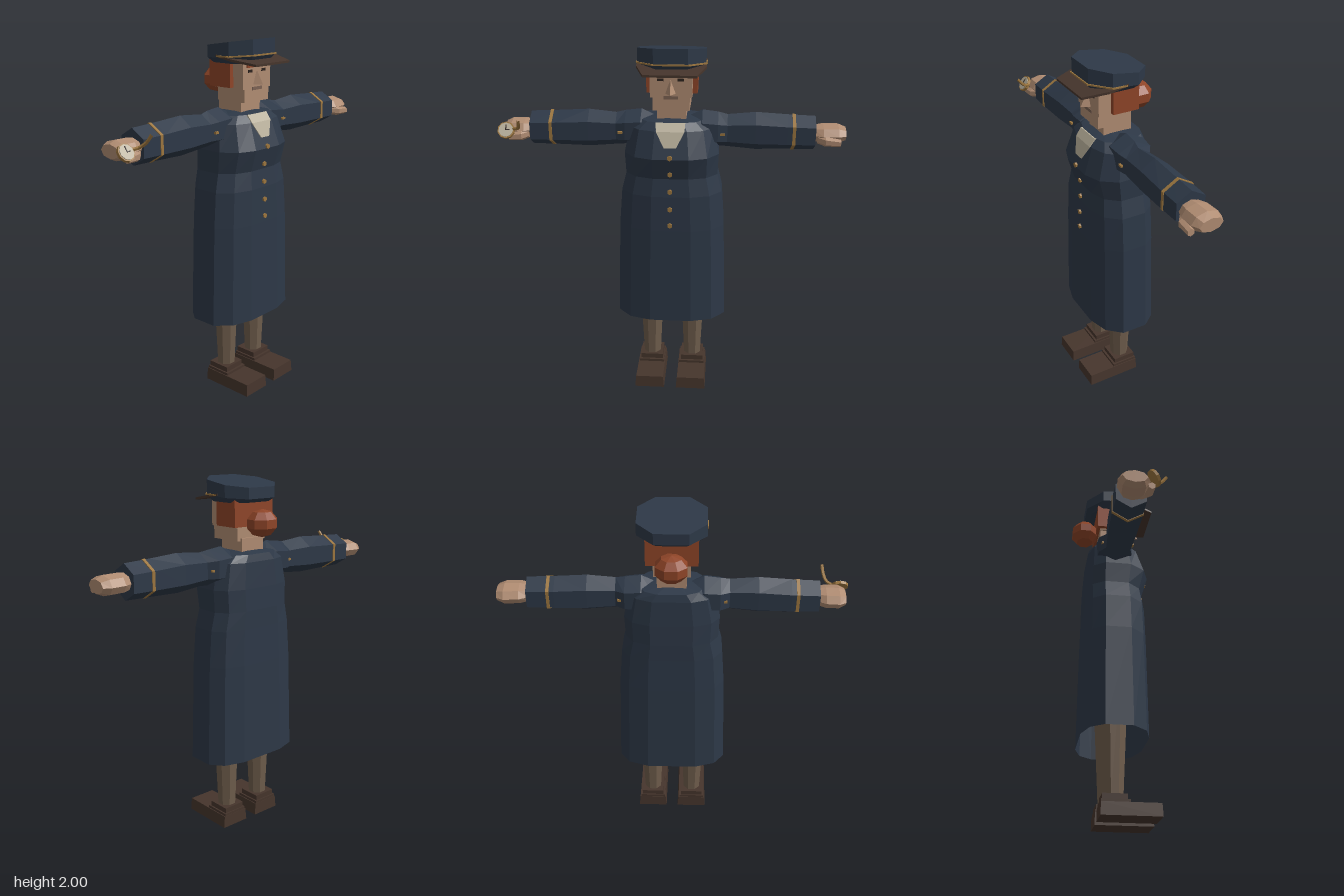
import * as THREE from 'three';

const mat = (name, color, side = THREE.FrontSide) =>
  Object.assign(new THREE.MeshStandardMaterial({ color, side }), { name });

export function createModel() {
  const root = new THREE.Group();
  root.name = 'uniformedFigure';
  const M = {
    navy: mat('navy cloth', 0x2d3847, THREE.DoubleSide),
    skin: mat('skin', 0xb08c72),
    hair: mat('red hair', 0x8f4528),
    leather: mat('brown leather', 0x46352c),
    stocking: mat('stocking', 0x6f5d4c),
    gold: mat('gold', 0x9c763f),
    cream: mat('cream', 0xbab19c, THREE.DoubleSide),
    mouth: mat('mouth', 0x7c6253),
    dark: mat('dark brown', 0x2c221d),
  };

  // Faceted mesh helper
  const add = (name, geo, m, x = 0, y = 0, z = 0, parent = root) => {
    const g = geo.index ? geo.toNonIndexed() : geo;
    g.computeVertexNormals();
    const mesh = new THREE.Mesh(g, m);
    mesh.name = name;
    mesh.position.set(x, y, z);
    parent.add(mesh);
    return mesh;
  };
  const box = (name, m, x0, x1, y0, y1, z0, z1) =>
    add(name, new THREE.BoxGeometry(x1 - x0, y1 - y0, z1 - z0), m, (x0 + x1) / 2, (y0 + y1) / 2, (z0 + z1) / 2);

  // Skin a list of cross-sections; the sign of the volume fixes the corner order
  const loft = (rings, capStart = true, capEnd = true) => {
    const n = rings[0].length, tris = [];
    for (let i = 0; i + 1 < rings.length; i++) {
      for (let j = 0; j < n; j++) {
        const k = (j + 1) % n, a = rings[i], b = rings[i + 1];
        tris.push([a[j], a[k], b[k]], [a[j], b[k], b[j]]);
      }
    }
    for (let j = 1; j + 1 < n; j++) {
      const a = rings[0], b = rings[rings.length - 1];
      if (capStart) tris.push([a[0], a[j + 1], a[j]]);
      if (capEnd) tris.push([b[0], b[j], b[j + 1]]);
    }
    const c = new THREE.Vector3(...rings[0][0]);
    let volume = 0;
    for (const t of tris) {
      const [p, q, r] = t.map((v) => new THREE.Vector3(...v).sub(c));
      volume += p.dot(q.cross(r));
    }
    if (volume < 0) tris.forEach((t) => t.reverse());
    const g = new THREE.BufferGeometry();
    g.setAttribute('position', new THREE.Float32BufferAttribute(tris.flat(2), 3));
    return g;
  };
  // Thin straight bar between two points
  const bar = (name, m, p, q, w) => {
    const a = new THREE.Vector3(...p), b = new THREE.Vector3(...q);
    const o = add(name, new THREE.BoxGeometry(w, w, a.distanceTo(b) + w), m);
    o.position.copy(a).add(b).multiplyScalar(0.5);
    o.lookAt(b);
  };

  // Coat: y, half width, front z, back z
  const coat = [
    [0.435, 0.31, 0.19, -0.18], [1.0, 0.291, 0.183, -0.17], [1.2, 0.275, 0.178, -0.165],
    [1.3, 0.25, 0.165, -0.165], [1.42, 0.255, 0.2, -0.16], [1.56, 0.225, 0.15, -0.15],
    [1.6, 0.17, 0.12, -0.14], [1.612, 0.08, 0.075, -0.09],
  ];
  const half = [[0.38, 1], [0.76, 0.82], [1, 0.4], [1, -0.4], [0.82, -0.8], [0.45, -1]];
  const section = [...half, ...half.map(([x, z]) => [-x, z]).reverse()];
  add('coat', loft(coat.map(([y, w, f, b]) => section.map(([x, z]) =>
    [x * w + 0.003, y, z > 0 ? z * f : -z * b])), false, true), M.navy);
  const frontZ = (y) => {
    const i = coat.findIndex((r) => r[0] >= y), a = coat[i - 1], b = coat[i];
    return a[2] + (b[2] - a[2]) * (y - a[0]) / (b[0] - a[0]);
  };

  // Shirt opening and coat buttons
  const shirt = [[1.48, 0.032], [1.56, 0.075], [1.6, 0.078]].map(([y, w]) => {
    const z = frontZ(y);
    return [[-w, y, z + 0.006], [w, y, z + 0.006], [w, y, z - 0.003], [-w, y, z - 0.003]];
  });
  add('shirtFront', loft(shirt), M.cream);
  for (const y of [1.43, 1.33, 1.23, 1.13, 1.035]) {
    const g = new THREE.CylinderGeometry(0.014, 0.014, 0.012, 6).rotateX(Math.PI / 2);
    add('coatButton', g, M.gold, 0, y, frontZ(y) + 0.004);
  }

  // Arms and hands, mirrored by the sign s
  const oval = (x, y, z, ry, rz, n, s) => Array.from({ length: n }, (_, i) => {
    const a = (i / n) * Math.PI * 2;
    return [s * x, y + ry * Math.cos(a), z + rz * Math.sin(a)];
  });
  for (const s of [1, -1]) {
    const side = s > 0 ? 'left' : 'right';
    add(side + 'Sleeve', loft([
      [0.1, 1.54, -0.01, 0.07, 0.09], [0.165, 1.54, -0.01, 0.1, 0.115], [0.25, 1.535, -0.01, 0.095, 0.108],
      [0.3, 1.53, 0, 0.09, 0.08], [0.45, 1.53, -0.003, 0.104, 0.09], [0.62, 1.527, -0.004, 0.097, 0.095],
      [0.768, 1.525, -0.004, 0.093, 0.093],
    ].map((r) => oval(...r, 6, s))), M.navy);
    add(side + 'CuffStripe', loft([0.645, 0.662].map((x) =>
      oval(x, 1.527, -0.004, 0.1, 0.099, 6, s))), M.gold);
    for (const z of [-0.085, 0.085])
      add(side + 'SleeveButton', new THREE.BoxGeometry(0.025, 0.012, 0.012), M.gold, s * 0.275, 1.53, z);

    const reach = s > 0 ? 1 : 0.86;
    add(side + 'Hand', loft([
      [0, 1.525, 0, 0.045, 0.06], [0.05, 1.525, -0.003, 0.052, 0.082],
      [0.13, 1.525, -0.006, 0.052, 0.084], [0.17, 1.525, -0.006, 0.036, 0.065],
    ].map(([x, ...r]) => oval(0.76 + x * reach, ...r, 8, s))), M.skin);
    add(side + 'Thumb', loft([
      [0.02, 1.505, 0.045, 0.024, 0.022], [0.06, 1.5, 0.075, 0.027, 0.025], [0.14, 1.495, 0.082, 0.02, 0.02],
    ].map(([x, ...r]) => oval(0.76 + x * reach, ...r, 6, s))), M.skin);

    // Legs and shoes
    const lx = s * 0.121 + 0.003;
    add(side + 'Leg', new THREE.CylinderGeometry(0.085, 0.052, 0.72, 8).rotateY(Math.PI / 8), M.stocking, lx, 0.46, -0.003);
    box(side + 'ShoeCuff', M.leather, lx - 0.066, lx + 0.066, 0.07, 0.115, -0.07, 0.062);
    box(side + 'ShoeHeel', M.leather, lx - 0.075, lx + 0.075, 0.04, 0.085, -0.076, 0.075);
    add(side + 'Shoe', loft([[0, 0.086, -0.08, 0.237], [0.07, 0.08, -0.078, 0.234]].map(([y, w, b, f]) =>
      [[lx - w, y, b], [lx + w, y, b], [lx + w, y, f], [lx - w, y, f]])), M.leather);
  }

  // Pocket watch with its chain
  const watch = new THREE.Group();
  watch.name = 'pocketWatch';
  watch.position.set(-0.892, 1.532, 0.092);
  watch.rotation.set(Math.PI / 2 - 0.6, 0, 0);
  root.add(watch);
  add('watchCase', new THREE.CylinderGeometry(0.047, 0.047, 0.016, 10), M.gold, 0, 0, 0, watch);
  add('watchFace', new THREE.CylinderGeometry(0.04, 0.04, 0.006, 10), M.cream, 0, 0.009, 0, watch);
  add('hourHand', new THREE.BoxGeometry(0.022, 0.003, 0.005), M.dark, 0.01, 0.013, 0, watch);
  add('minuteHand', new THREE.BoxGeometry(0.005, 0.003, 0.03), M.dark, 0, 0.013, -0.014, watch);
  const chain = new THREE.CatmullRomCurve3([
    [-0.855, 1.54, 0.09], [-0.825, 1.548, 0.11], [-0.808, 1.575, 0.145], [-0.8, 1.615, 0.175],
  ].map((p) => new THREE.Vector3(...p)));
  add('watchChain', new THREE.TubeGeometry(chain, 8, 0.009, 5), M.gold);

  // Head
  box('neck', M.skin, -0.074, 0.08, 1.56, 1.68, -0.088, 0.075);
  box('jaw', M.skin, -0.095, 0.1, 1.665, 1.75, -0.075, 0.118);
  box('face', M.skin, -0.108, 0.112, 1.735, 1.89, -0.08, 0.12);
  box('hair', M.hair, -0.133, 0.138, 1.742, 1.89, -0.098, 0.05);
  add('nose', loft([[1.825, 0.006, 0.125], [1.757, 0.032, 0.165]].map(([y, w, t]) =>
    [[-w, y, 0.112], [w, y, 0.112], [0, y, t]])), M.skin);
  box('mouth', M.mouth, -0.037, 0.04, 1.727, 1.744, 0.112, 0.123);
  for (const s of [1, -1]) {
    box('eyebrow', M.hair, s * 0.055 - 0.026, s * 0.055 + 0.026, 1.848, 1.862, 0.115, 0.127);
    box('eye', M.dark, s * 0.053 - 0.016, s * 0.053 + 0.016, 1.822, 1.836, 0.115, 0.123);
  }
  add('hairBun', new THREE.SphereGeometry(1, 8, 5).rotateY(Math.PI / 8).scale(0.092, 0.074, 0.083), M.hair, 0.003, 1.763, -0.162);

  // Cap: octagonal crown sloping down to the back
  const octagon = (k, height) => [[0.5, 1], [1, 0.45], [1, -0.45], [0.5, -1], [-0.5, -1], [-1, -0.45], [-1, 0.45], [-0.5, 1]]
    .map(([x, z]) => [0.003 + x * 0.178 * k, height(z * 0.163 * k), 0.004 + z * 0.163 * k]);
  const brimY = (z) => 1.902 + z * 0.07;
  add('capCrown', loft([octagon(0.82, () => 1.87), octagon(1, brimY), octagon(1, (z) => 1.973 + z * 0.145)]), M.navy);

  // Peak and its gold cord
  const peak = [[-0.178, -0.01], [-0.18, 0.1], [-0.135, 0.23], [0.14, 0.23], [0.186, 0.1], [0.184, -0.01]];
  add('capPeak', loft([0, 0.012].map((t) => peak.map(([x, z]) => [x, 1.902 - 0.16 * z + t, z]))), M.leather);
  const rim = octagon(1.012, (z) => brimY(z) + 0.001);
  const rimMid = (p) => [p[0], 1.907, 0];
  const cord = [rimMid(rim[1]), rim[1], rim[0], rim[7], rim[6], rimMid(rim[6])];
  for (let i = 0; i + 1 < cord.length; i++) bar('capCord', M.gold, cord[i], cord[i + 1], 0.008);

  return root;
}
